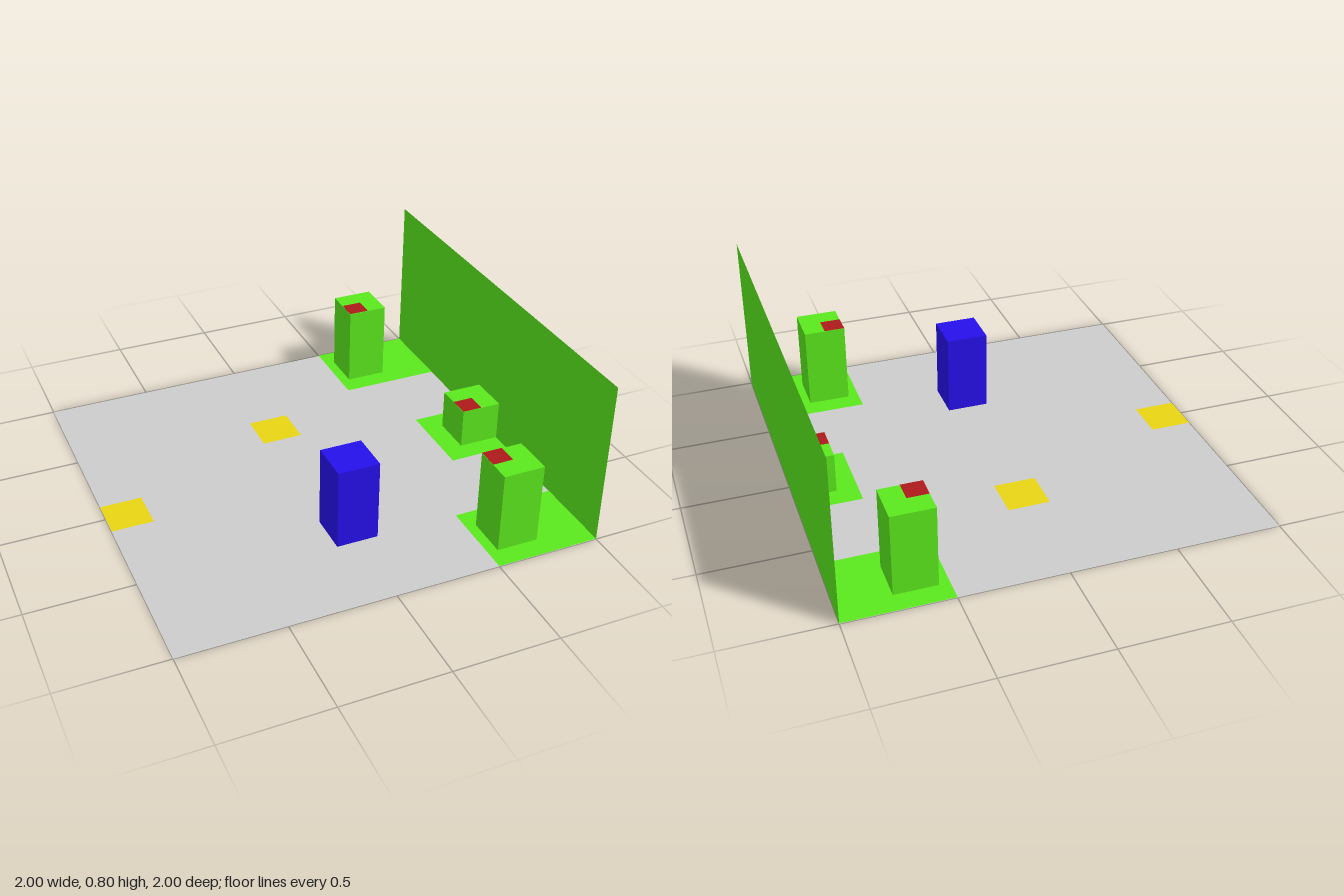
import * as THREE from 'three';

const material = (color) =>
  new THREE.MeshStandardMaterial({ color, flatShading: true, side: THREE.DoubleSide });

export function createModel() {
  const model = new THREE.Group();
  const grey = material(0xcccccc);
  const green = material(0x5ae71d);
  const blue = material(0x2610e9);
  const yellow = material(0xe7d414);
  const red = material(0xad1919);
  const LIFT = 0.002; // keeps flat markings clear of the surface below

  function add(name, geometry, mat, x, y, z) {
    const mesh = new THREE.Mesh(geometry, mat);
    mesh.name = name;
    mesh.position.set(x, y, z);
    model.add(mesh);
  }

  // Flat horizontal rectangle facing up
  function patch(name, mat, x, y, z, width, depth) {
    add(name, new THREE.PlaneGeometry(width, depth).rotateX(-Math.PI / 2), mat, x, y, z);
  }

  // Upright block with a square 0.2 footprint, standing on the floor
  function block(name, mat, x, z, height) {
    const h = height - LIFT;
    add(name, new THREE.BoxGeometry(0.2, h, 0.2), mat, x, LIFT + h / 2, z);
  }

  // Floor and the single wall along its left edge
  patch('floor', grey, 0, 0, 0, 2, 2);
  add('wall', new THREE.PlaneGeometry(2, 0.8).rotateY(Math.PI / 2), green, 1, 0.4, 0);

  // Tall corner blocks, each with a pad and a red marker on the inner corner
  for (const side of [-1, 1]) {
    patch('cornerPad', green, 0.75, LIFT, side * 0.8, 0.5, 0.4);
    block('cornerBlock', green, 0.65, side * 0.8, 0.4);
    patch('cornerMarker', red, 0.6, 0.4 + LIFT, side * 0.75, 0.1, 0.1);
  }

  // Low block against the middle of the wall
  patch('middlePad', green, 0.85, LIFT, 0, 0.3, 0.4);
  block('middleBlock', green, 0.9, 0, 0.2);
  patch('middleMarker', red, 0.85, 0.2 + LIFT, 0.05, 0.1, 0.1);

  // Free-standing blue block
  block('blueBlock', blue, 0, 0.5, 0.4);

  // Yellow floor markings
  patch('backFloorMarking', yellow, 0, LIFT, -0.4, 0.2, 0.2);
  patch('sideFloorMarking', yellow, -0.9, LIFT, 0, 0.2, 0.2);

  return model;
}
